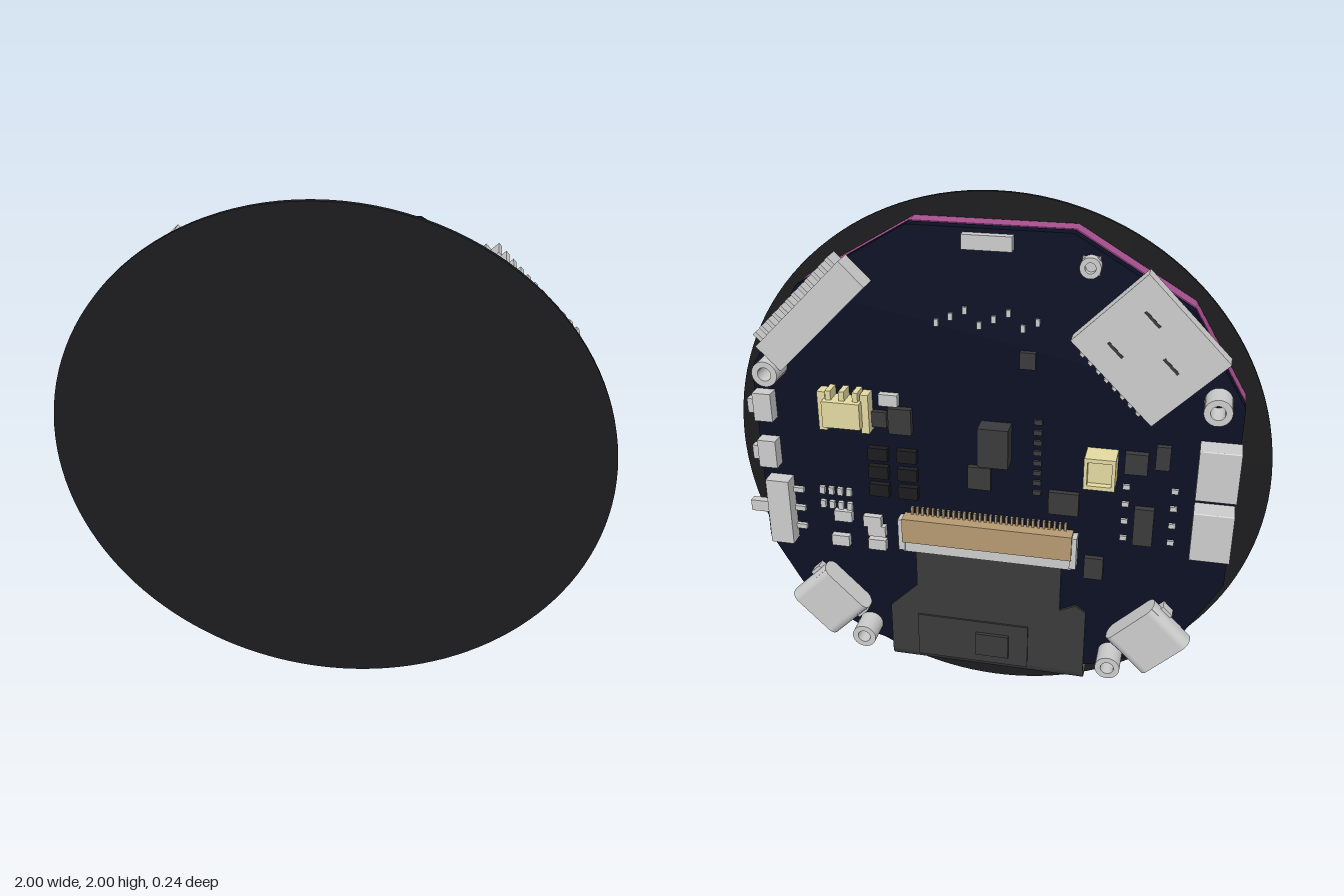
import * as THREE from 'three';

const GREY = 0xcccccc, BLACK = 0x1c1c1e, DARK = 0x3a3a3c, CREAM = 0xe2d9a0, TAN = 0xb59a72;
const BACK = -0.02; // z of the board's component side

const mats = {};
const mat = (color) => (mats[color] ??= new THREE.MeshStandardMaterial({ color, side: THREE.DoubleSide }));

function add(parent, name, geo, color, x = 0, y = 0, z = 0) {
  const m = new THREE.Mesh(geo, mat(color));
  m.name = name;
  m.position.set(x, y, z);
  parent.add(m);
  return m;
}

// Box standing on the back of the board, reaching back to z = -top
function part(parent, name, color, x, y, w, h, top, rot = 0) {
  const d = top + BACK;
  const m = add(parent, name, new THREE.BoxGeometry(w, h, d), color, x, y, BACK - d / 2);
  m.rotation.z = rot;
  return m;
}

const slab = (shape, depth) => new THREE.ExtrudeGeometry(shape, { depth, bevelEnabled: false, curveSegments: 16 });
const outline = (pts) => new THREE.Shape(pts.map(([x, y]) => new THREE.Vector2(x, y)));

function roundRect(Type, w, h, r) {
  const s = new Type(), a = w / 2 - r, b = h / 2 - r;
  s.absarc(a, b, r, 0, Math.PI / 2);
  s.absarc(-a, b, r, Math.PI / 2, Math.PI);
  s.absarc(-a, -b, r, Math.PI, Math.PI * 1.5);
  s.absarc(a, -b, r, Math.PI * 1.5, Math.PI * 2);
  s.closePath();
  return s;
}

function ring(outer, inner, depth) {
  const s = new THREE.Shape().absarc(0, 0, outer, 0, Math.PI * 2);
  s.holes.push(new THREE.Path().absarc(0, 0, inner, 0, Math.PI * 2, true));
  return slab(s, depth);
}

// USB socket: hollow rounded shell, local +y is the opening
function usbSocket(parent, x, y, rot) {
  const g = new THREE.Group();
  g.name = 'usbSocket';
  const s = roundRect(THREE.Shape, 0.24, 0.085, 0.035);
  s.holes.push(roundRect(THREE.Path, 0.215, 0.06, 0.028));
  add(g, 'usbShell', slab(s, 0.2).rotateX(-Math.PI / 2), GREY, 0, -0.1, 0);
  add(g, 'usbBack', new THREE.BoxGeometry(0.22, 0.06, 0.065), GREY, 0, -0.07, 0);
  add(g, 'usbTongue', new THREE.BoxGeometry(0.16, 0.13, 0.016), DARK, 0, 0.015, 0);
  for (const sx of [-1, 1]) add(g, 'usbTab', new THREE.BoxGeometry(0.025, 0.05, 0.04), GREY, sx * 0.12, -0.04, 0.022);
  g.position.set(x, y, -0.065);
  g.rotation.z = rot;
  parent.add(g);
}

// Hollow socket opening outwards to -x, with pins
function sideSocket(parent, x, y) {
  const s = roundRect(THREE.Shape, 0.085, 0.19, 0.004);
  s.holes.push(roundRect(THREE.Path, 0.06, 0.155, 0.004));
  add(parent, 'sideSocket', slab(s, 0.14).rotateY(-Math.PI / 2), GREY, x + 0.07, y, -0.0625);
  add(parent, 'sideSocketBack', new THREE.BoxGeometry(0.03, 0.17, 0.07), GREY, x + 0.05, y, -0.0625);
  for (let i = -1.5; i < 2; i++) add(parent, 'socketPin', new THREE.BoxGeometry(0.07, 0.012, 0.012), GREY, x, y + i * 0.035, -0.06);
}

export function createModel() {
  const root = new THREE.Group(), g = new THREE.Group();
  g.name = 'roundDisplayBoard';
  g.position.y = 1;
  root.add(g);

  // Round glass and display body
  add(g, 'frontGlass', new THREE.CylinderGeometry(1, 1, 0.015, 128).rotateX(Math.PI / 2), BLACK, 0, 0, 0.1165);
  add(g, 'displayBody', new THREE.CylinderGeometry(0.82, 0.82, 0.012, 64).rotateX(Math.PI / 2), BLACK, 0, 0, 0.104);

  // Faceted spacer and circuit board
  const half = [[0.28, 0.91], [0.68, 0.675], [0.875, 0.355], [0.875, -0.35], [0.72, -0.63], [0.47, -0.77], [0.33, -0.8]];
  const edge = outline([...half, ...half.map(([x, y]) => [-x, y]).reverse()]);
  add(g, 'spacer', slab(edge, 0.068), 0xa85090, 0, 0, 0.035);
  add(g, 'circuitBoard', slab(edge, 0.043), 0x0b1024, 0, 0, BACK);
  for (const [x, y, w, h] of [[0.68, 0, 0.3, 0.7], [-0.68, 0, 0.3, 0.7], [0, 0.75, 0.6, 0.25], [0, -0.6, 0.5, 0.3]])
    add(g, 'adhesivePad', new THREE.BoxGeometry(w, h, 0.014), GREY, x, y, 0.029);

  // Flat cable on the back, wrapping under the bottom edge
  const cable = outline([[0.28, -0.3], [0.28, -0.5], [0.39, -0.61], [0.39, -0.82], [-0.38, -0.82], [-0.38, -0.54],
    [-0.34, -0.51], [-0.28, -0.54], [-0.28, -0.3]]);
  add(g, 'flatCable', slab(cable, 0.01), DARK, 0, 0, -0.033);
  const bend = new THREE.CatmullRomCurve3([[-0.033, -0.8], [-0.025, -0.845], [0.01, -0.868], [0.05, -0.865], [0.085, -0.84], [0.1, -0.8]]
    .map(([z, y]) => new THREE.Vector3(0, y, z))).getPoints(16);
  const wrap = new THREE.PlaneGeometry(0.77, 1, 1, 16), p = wrap.attributes.position;
  for (let i = 0; i < p.count; i++) {
    const b = bend[i >> 1];
    p.setXYZ(i, p.getX(i) + 0.005, b.y, b.z);
  }
  wrap.computeVertexNormals();
  add(g, 'cableBend', wrap, DARK);
  add(g, 'cableStiffener', new THREE.BoxGeometry(0.44, 0.19, 0.008), DARK, 0.06, -0.73, -0.036);
  add(g, 'cableChip', new THREE.BoxGeometry(0.13, 0.1, 0.018), DARK, -0.02, -0.735, -0.044);

  // Flat cable connector with its row of pins
  part(g, 'cableConnector', TAN, 0, -0.235, 0.64, 0.1, 0.075);
  part(g, 'connectorLatch', GREY, 0, -0.31, 0.64, 0.045, 0.06);
  for (const s of [-1, 1]) part(g, 'latchEnd', GREY, s * 0.325, -0.26, 0.025, 0.13, 0.065);
  for (let i = 0; i < 30; i++) part(g, 'connectorPin', TAN, -0.29 + i * 0.02, -0.175, 0.009, 0.04, 0.032);

  // Threaded standoffs
  for (const s of [-1, 1]) for (const [x, y] of [[0.785, 0.375], [0.48, -0.715]])
    add(g, 'standoff', ring(0.047, 0.025, 0.1), GREY, s * x, y, -0.12);
  add(g, 'smallAntennaSocket', ring(0.035, 0.018, 0.035), GREY, -0.34, 0.81, -0.055);
  part(g, 'antennaBase', GREY, -0.34, 0.81, 0.06, 0.06, 0.032);

  // Long pin header, tilted along the rim
  const header = new THREE.Group();
  header.name = 'longHeader';
  header.position.set(0.61, 0.59, 0);
  header.rotation.z = -Math.PI / 4;
  part(header, 'headerBody', GREY, 0, 0, 0.46, 0.12, 0.1);
  for (let i = 0; i < 12; i++) part(header, 'headerRib', GREY, -0.2 + i * 0.0364, 0.07, 0.015, 0.05, 0.09);
  g.add(header);

  // Memory card holder, tilted along the rim
  const card = new THREE.Group();
  card.name = 'cardHolder';
  card.position.set(-0.55, 0.55, 0);
  card.rotation.z = Math.PI / 4;
  part(card, 'cardShell', GREY, 0, 0, 0.4, 0.34, 0.08);
  for (const [x, y] of [[-0.08, 0.02], [0.08, 0.08], [0.08, -0.08]]) part(card, 'cardSpring', DARK, x, y, 0.07, 0.01, 0.082);
  for (let i = 0; i < 8; i++) part(card, 'cardContact', GREY, -0.15 + i * 0.04, -0.18, 0.015, 0.03, 0.04);
  g.add(card);

  usbSocket(g, 0.62, -0.585, -Math.PI * 0.75);
  usbSocket(g, -0.62, -0.585, Math.PI * 0.75);
  sideSocket(g, -0.81, 0.13);
  sideSocket(g, -0.81, -0.11);

  // Side buttons and slide switch
  for (const y of [0.22, 0.03]) {
    part(g, 'buttonBody', GREY, 0.83, y, 0.07, 0.11, 0.07);
    add(g, 'buttonCap', new THREE.BoxGeometry(0.04, 0.055, 0.03), GREY, 0.87, y, -0.045);
  }
  part(g, 'slideSwitch', GREY, 0.8, -0.21, 0.09, 0.27, 0.08);
  add(g, 'switchLever', new THREE.BoxGeometry(0.1, 0.045, 0.03), GREY, 0.87, -0.2, -0.05);
  for (let i = 0; i < 3; i++) part(g, 'switchPin', GREY, 0.74, -0.29 + i * 0.08, 0.05, 0.02, 0.035);
  part(g, 'topConnector', GREY, 0, 0.87, 0.17, 0.05, 0.05);

  // Cream sockets
  part(g, 'creamSocketBody', CREAM, 0.52, 0.23, 0.14, 0.1, 0.1);
  for (const s of [-1, 1]) part(g, 'creamSocketWing', CREAM, 0.52 + s * 0.08, 0.23, 0.03, 0.15, 0.07);
  for (let i = -1; i < 2; i++) part(g, 'creamSocketRib', CREAM, 0.52 + i * 0.05, 0.29, 0.02, 0.05, 0.08);
  const sq = roundRect(THREE.Shape, 0.11, 0.12, 0.003);
  sq.holes.push(roundRect(THREE.Path, 0.085, 0.09, 0.003));
  add(g, 'squareCreamSocket', slab(sq, 0.09), CREAM, -0.41, 0.1, -0.11);
  part(g, 'squareSocketFloor', CREAM, -0.41, 0.1, 0.1, 0.11, 0.085);

  // Chips: x, y, width, height, top
  const chips = [[-0.03, 0.15, 0.11, 0.15, 0.09], [0.03, 0, 0.085, 0.09, 0.04], [0.32, 0.2, 0.085, 0.1, 0.045], [-0.14, 0.47, 0.055, 0.06, 0.04],
    [-0.53, 0.12, 0.08, 0.08, 0.045], [-0.62, 0.15, 0.05, 0.09, 0.04], [-0.28, -0.07, 0.11, 0.09, 0.04], [-0.57, -0.13, 0.07, 0.15, 0.045],
    [-0.4, -0.33, 0.07, 0.09, 0.04], [0.4, 0.2, 0.06, 0.06, 0.04]];
  for (const [x, y, w, h, t] of chips) part(g, 'chip', DARK, x, y, w, h, t);
  for (let r = 0; r < 3; r++) for (const x of [0.3, 0.41]) part(g, 'powerPart', BLACK, x, 0.06 - r * 0.075, 0.075, 0.05, 0.045);

  // Capacitors and tiny surface parts
  for (const [x, y] of [[0.56, -0.22], [0.445, -0.23], [0.577, -0.33], [0.43, -0.33], [0.43, -0.27], [0.36, 0.28]])
    part(g, 'capacitor', GREY, x, y, 0.07, 0.045, 0.045);
  for (let i = 0; i < 8; i++) {
    part(g, 'tinyPart', DARK, -0.18, 0.24 - i * 0.04, 0.03, 0.018, 0.03);
    part(g, 'tinyPart', GREY, 0.18 - i * 0.05, 0.58 + (i % 3) * 0.025, 0.015, 0.025, 0.03);
    part(g, 'tinyPart', GREY, 0.64 - (i % 4) * 0.035, -0.12 - (i >> 2) * 0.06, 0.02, 0.03, 0.035);
    part(g, 'tinyPart', GREY, -0.5 - (i % 2) * 0.17, 0.02 - (i >> 1) * 0.07, 0.025, 0.018, 0.03);
  }
  return root;
}
